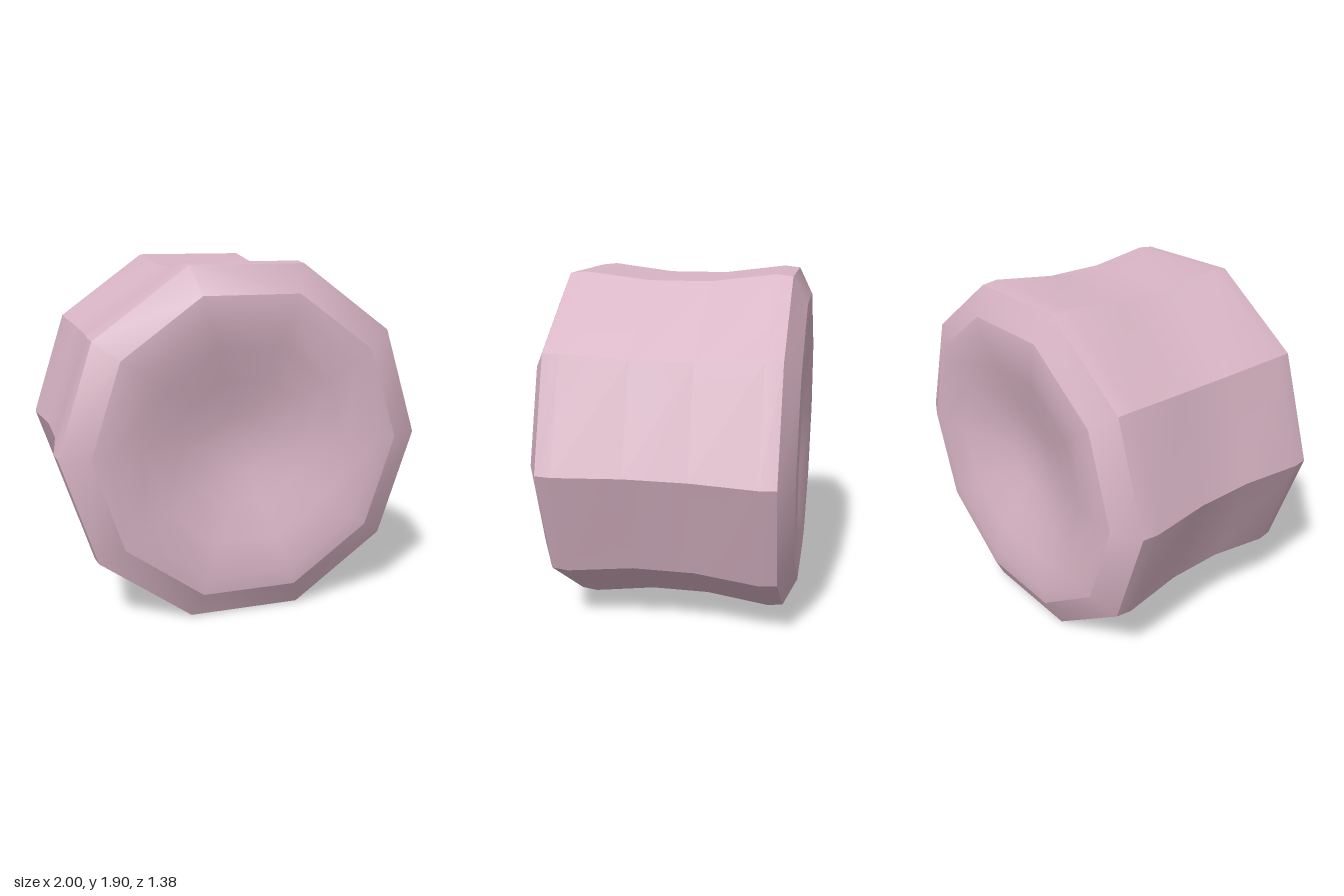
import * as THREE from 'three';
import { toCreasedNormals } from 'three/addons/utils/BufferGeometryUtils.js';

export function createModel() {
  const group = new THREE.Group();
  group.name = 'waistedDrum';
  const pink = new THREE.MeshStandardMaterial({ color: 0xd8b4c4 });
  pink.name = 'dustyPink';

  // Half profile (radius, distance along axis): dished end, rim, bevel, waisted side
  const half = [
    [0, 0.53], [0.18, 0.548], [0.36, 0.593], [0.55, 0.647], [0.74, 0.689],
    [0.835, 0.682], [0.99, 0.604], [1, 0.515], [0.955, 0.165],
  ];
  const back = half.map(([r, z]) => new THREE.Vector2(r, -z));
  const front = half.map(([r, z]) => new THREE.Vector2(r, z)).reverse();

  // Ten-sided body turned about the z axis, with a corner pointing to each side
  const lathe = new THREE.LatheGeometry([...back, ...front], 10, Math.PI / 2);
  lathe.rotateX(Math.PI / 2);
  lathe.translate(0, Math.sin(Math.PI * 0.4), 0);

  // Crisp panel edges, smooth dishes and bevels
  const body = new THREE.Mesh(toCreasedNormals(lathe, 0.37), pink);
  body.name = 'drumBody';
  group.add(body);
  return group;
}
